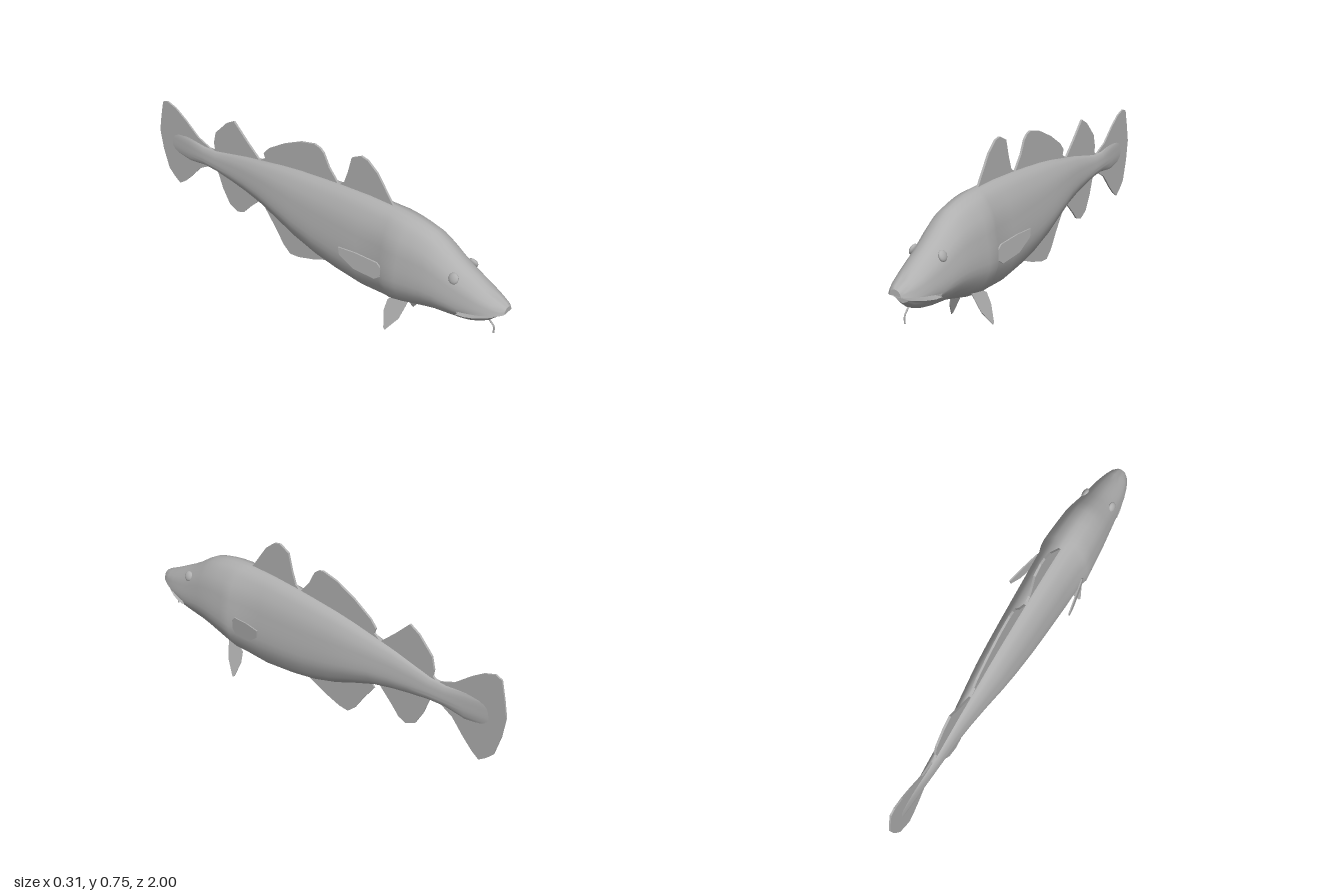
import * as THREE from 'three';
import { mergeGeometries, toCreasedNormals } from 'three/addons/utils/BufferGeometryUtils.js';

const skin = new THREE.MeshStandardMaterial({ color: 0xb0b0b0 });
skin.name = 'grey skin';

// Half cross-section: x as a share of the half width, y as a share of the height
const half = new THREE.SplineCurve([
  [0, 1], [0.42, 0.95], [0.8, 0.78], [0.93, 0.61], [1, 0.46], [0.97, 0.3], [0.66, 0.13], [0.38, 0.06], [0, 0],
].map(([x, y]) => new THREE.Vector2(x, y))).getPoints(18);
const section = [...half, ...half.slice(1, -1).reverse().map((p) => new THREE.Vector2(-p.x, p.y))];

// Stations [z, top, bottom, halfWidth], optional lowest and highest allowed y
function loft(stations, capFront, capBack) {
  const n = section.length, pos = [], index = [];
  for (const [z, top, bottom, w, lo = -9, hi = 9] of stations) {
    for (const p of section) {
      const y = bottom + (top - bottom) * p.y;
      pos.push(p.x * w, Math.min(hi, Math.max(lo, y)), z);
    }
  }
  for (let i = 0; i < stations.length - 1; i++) {
    for (let j = 0; j < n; j++) {
      const a = i * n + j, b = i * n + (j + 1) % n;
      index.push(a, b, a + n, b, b + n, a + n);
    }
  }
  const cap = (row, flip) => {
    const [z, top, bottom, , lo = -9, hi = 9] = stations[row];
    const centre = pos.length / 3;
    pos.push(0, (Math.min(top, hi) + Math.max(bottom, lo)) / 2, z);
    for (let j = 0; j < n; j++) {
      const a = row * n + j, b = row * n + (j + 1) % n;
      index.push(centre, flip ? a : b, flip ? b : a);
    }
  };
  if (capFront) cap(0, false);
  if (capBack) cap(stations.length - 1, true);
  const g = new THREE.BufferGeometry();
  g.setAttribute('position', new THREE.Float32BufferAttribute(pos, 3));
  g.setIndex(index);
  return g;
}

// Thin fin drawn in (z, y), then bent sideways by offset(z, y)
function fin(name, points, thickness, offset = () => 0) {
  const shape = new THREE.Shape(points.map(([z, y]) => new THREE.Vector2(z, y)));
  const g = new THREE.ExtrudeGeometry(shape, { depth: thickness, bevelEnabled: false });
  g.translate(0, 0, -thickness / 2).rotateY(-Math.PI / 2);
  const p = g.attributes.position;
  for (let i = 0; i < p.count; i++) p.setX(i, p.getX(i) + offset(p.getZ(i), p.getY(i)));
  g.computeVertexNormals();
  return part(name, g);
}

function part(name, geometry) {
  const mesh = new THREE.Mesh(geometry, skin);
  mesh.name = name;
  return mesh;
}

export function createModel() {
  const fish = new THREE.Group();
  fish.name = 'fish';

  // Body from the corner of the mouth to the tail root
  const trunk = loft([
    [0.81, 0.44, 0.195, 0.09], [0.75, 0.475, 0.185, 0.098], [0.69, 0.517, 0.175, 0.106],
    [0.635, 0.548, 0.16, 0.113], [0.57, 0.564, 0.14, 0.118], [0.515, 0.573, 0.123, 0.122],
    [0.46, 0.577, 0.11, 0.125], [0.425, 0.579, 0.105, 0.112], [0.29, 0.577, 0.095, 0.106],
    [0.14, 0.566, 0.11, 0.098], [0.03, 0.555, 0.13, 0.092], [-0.1, 0.54, 0.17, 0.083],
    [-0.2, 0.524, 0.212, 0.074], [-0.32, 0.5, 0.258, 0.058], [-0.42, 0.48, 0.282, 0.045],
    [-0.52, 0.455, 0.3, 0.034], [-0.62, 0.43, 0.315, 0.027], [-0.7, 0.424, 0.318, 0.022],
    [-0.8, 0.435, 0.3, 0.013], [-0.93, 0.43, 0.31, 0.003],
  ], true, true);
  // Upper jaw, flat underneath
  const upperJaw = loft([
    [1, 0.342, 0.28, 0.028, 0.315], [0.985, 0.352, 0.27, 0.043, 0.311], [0.95, 0.368, 0.25, 0.06, 0.303],
    [0.9, 0.393, 0.225, 0.075, 0.291], [0.85, 0.42, 0.207, 0.084, 0.28], [0.81, 0.44, 0.195, 0.09, 0.272],
  ], true, false);
  // Lower jaw, flat on top
  const lowerJaw = loft([
    [0.955, 0.365, 0.268, 0.04, -9, 0.287], [0.93, 0.38, 0.243, 0.058, -9, 0.28],
    [0.89, 0.4, 0.221, 0.075, -9, 0.27], [0.85, 0.42, 0.205, 0.085, -9, 0.262],
    [0.81, 0.44, 0.195, 0.09, -9, 0.258],
  ], true, false);
  fish.add(part('body', toCreasedNormals(mergeGeometries([trunk, upperJaw, lowerJaw]), 0.8)));

  // Fins along the middle line
  fish.add(fin('firstDorsalFin', [
    [0.41, 0.575], [0.32, 0.7], [0.27, 0.74], [0.235, 0.747], [0.185, 0.72], [0.165, 0.64],
    [0.145, 0.58], [0.12, 0.56], [0.13, 0.5], [0.4, 0.5],
  ], 0.01));
  fish.add(fin('secondDorsalFin', [
    [0.11, 0.56], [0.06, 0.62], [0.03, 0.68], [0.01, 0.697], [-0.02, 0.705], [-0.1, 0.685], [-0.2, 0.635],
    [-0.29, 0.575], [-0.32, 0.54], [-0.312, 0.515], [-0.34, 0.495], [-0.3, 0.45], [0.08, 0.5],
  ], 0.01));
  fish.add(fin('thirdDorsalFin', [
    [-0.35, 0.492], [-0.42, 0.555], [-0.5, 0.635], [-0.55, 0.605], [-0.62, 0.53], [-0.635, 0.47],
    [-0.63, 0.44], [-0.65, 0.42], [-0.6, 0.4], [-0.38, 0.44],
  ], 0.01));
  fish.add(fin('tailFin', [
    [-0.66, 0.424], [-0.74, 0.455], [-0.82, 0.52], [-0.88, 0.56], [-0.935, 0.578], [-0.965, 0.565],
    [-0.985, 0.48], [-1, 0.4], [-0.985, 0.3], [-0.955, 0.2], [-0.92, 0.165], [-0.885, 0.14],
    [-0.85, 0.165], [-0.8, 0.215], [-0.74, 0.285], [-0.68, 0.32],
  ], 0.008));
  fish.add(fin('firstAnalFin', [
    [0.06, 0.125], [-0.03, 0.085], [-0.12, 0.055], [-0.17, 0.05], [-0.21, 0.085], [-0.26, 0.16],
    [-0.32, 0.24], [-0.3, 0.27], [-0.2, 0.27], [0, 0.18],
  ], 0.008));
  fish.add(fin('secondAnalFin', [
    [-0.35, 0.27], [-0.42, 0.2], [-0.46, 0.155], [-0.5, 0.14], [-0.55, 0.165], [-0.59, 0.235],
    [-0.62, 0.32], [-0.56, 0.35], [-0.4, 0.32],
  ], 0.008));

  // Paired fins and eyes
  for (const [side, s] of [['left', 1], ['right', -1]]) {
    fish.add(fin(side + 'PectoralFin', [
      [0.445, 0.32], [0.42, 0.35], [0.32, 0.365], [0.24, 0.367], [0.245, 0.33], [0.31, 0.28],
      [0.41, 0.262], [0.44, 0.285],
    ], 0.006, (z) => s * (0.114 + (0.44 - z) * 0.2)));
    fish.add(fin(side + 'PelvicFin', [
      [0.54, 0.16], [0.5, 0.17], [0.44, 0.13], [0.435, 0.08], [0.455, 0.008], [0.465, 0], [0.515, 0.07],
    ], 0.004, (z, y) => s * (0.05 + (0.15 - y) * 0.36)));
    const eye = part(side + 'Eye', new THREE.SphereGeometry(0.024, 16, 12));
    eye.scale.x = 0.5;
    eye.rotation.z = s * 0.4;
    eye.position.set(s * 0.07, 0.415, 0.775);
    fish.add(eye);
  }

  // Chin barbel
  const barbelPath = new THREE.CatmullRomCurve3([
    new THREE.Vector3(0, 0.25, 0.9), new THREE.Vector3(0, 0.228, 0.925),
    new THREE.Vector3(0, 0.21, 0.942), new THREE.Vector3(0, 0.177, 0.944),
  ]);
  fish.add(part('barbel', new THREE.TubeGeometry(barbelPath, 12, 0.004, 6)));
  return fish;
}
